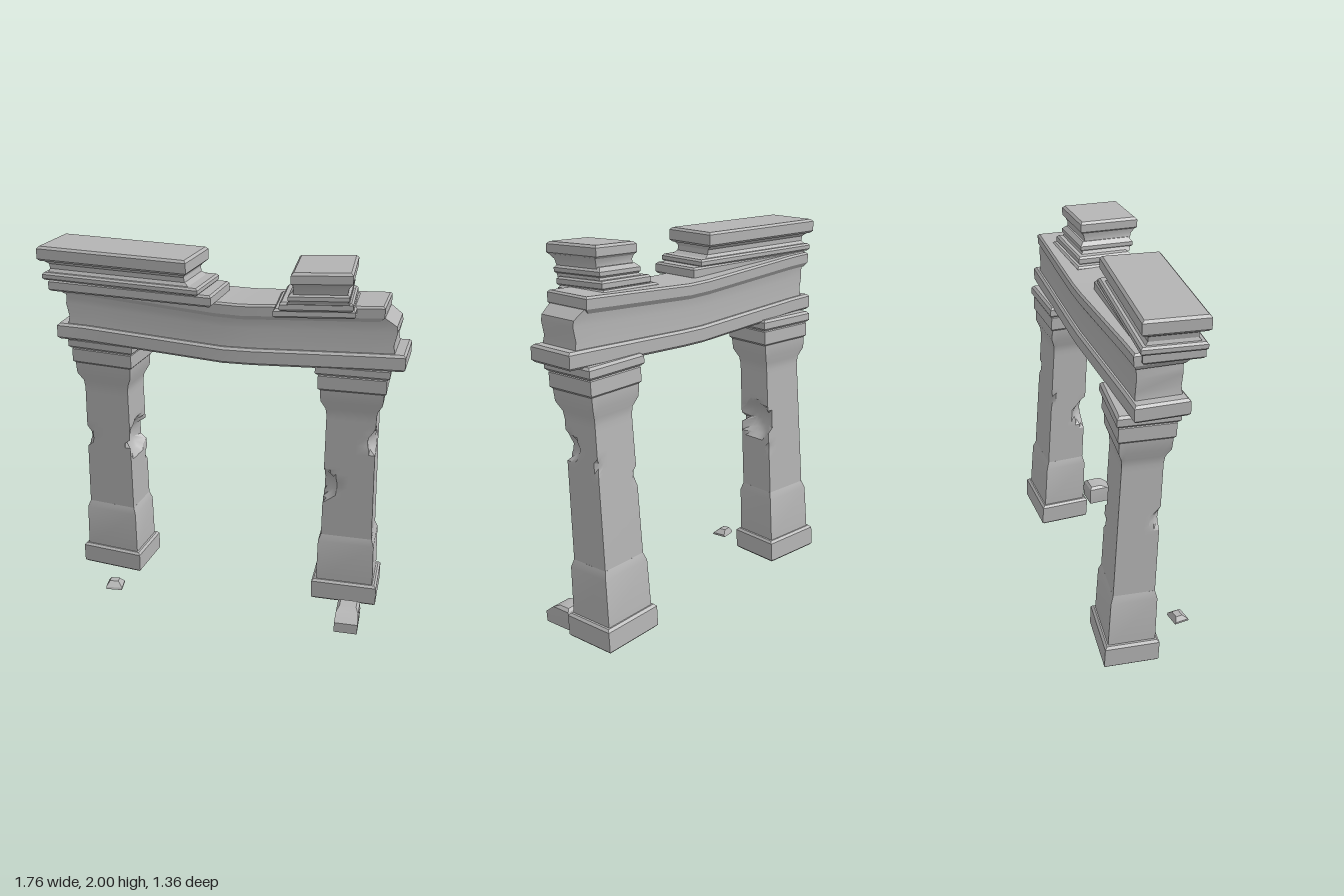
import * as THREE from 'three';
import { toCreasedNormals } from 'three/addons/utils/BufferGeometryUtils.js';

const stone = new THREE.MeshStandardMaterial({ color: 0xb4b4b4 });
stone.name = 'weathered stone';

const rad = (deg) => deg * Math.PI / 180;

// Rectangular ring of points, row = [y, halfLength, halfDepth, shiftLength, shiftDepth]
function ring([y, hu, hn, du = 0, dn = 0], o) {
  const c = Math.cos(rad(o.yaw)), s = Math.sin(rad(o.yaw));
  const corners = [[-hu, hn], [hu, hn], [hu, -hn], [-hu, -hn]];
  const steps = [o.long || 1, o.short || 1];
  const pts = [];
  corners.forEach((a, k) => {
    const b = corners[(k + 1) % 4], n = steps[k % 2];
    for (let i = 0; i < n; i++) {
      const u = a[0] + (b[0] - a[0]) * i / n + du;
      const v = a[1] + (b[1] - a[1]) * i / n + dn;
      const lean = o.lean ? [o.lean[0] * y, o.lean[1] * y] : [0, 0];
      const p = new THREE.Vector3(o.x + lean[0] + u * c - v * s, y, o.z + lean[1] + u * s + v * c);
      if (o.deform) o.deform(p);
      pts.push(p);
    }
  });
  return pts;
}

// Closed block lofted upward through rectangular rows
function block(name, rows, o) {
  const rings = rows.map((r) => ring(r, o));
  const pos = [];
  const tri = (...ps) => ps.forEach((p) => pos.push(p.x, p.y, p.z));
  const quad = (a, b, c, d) => { tri(a, b, c); tri(a, c, d); };
  const k = rings[0].length;
  for (let r = 0; r + 1 < rings.length; r++) {
    for (let i = 0; i < k; i++) {
      const j = (i + 1) % k;
      quad(rings[r][i], rings[r][j], rings[r + 1][j], rings[r + 1][i]);
    }
  }
  // End caps as strips across the ring
  const top = rings[rings.length - 1], bottom = rings[0];
  for (let i = 0; i < k / 2 - 1; i++) {
    const a = i, b = i + 1, c = k - 2 - i, d = k - 1 - i;
    quad(top[a], top[b], top[c], top[d]);
    quad(bottom[d], bottom[c], bottom[b], bottom[a]);
  }
  const geo = new THREE.BufferGeometry();
  geo.setAttribute('position', new THREE.Float32BufferAttribute(pos, 3));
  const mesh = new THREE.Mesh(toCreasedNormals(geo, 0.55), stone);
  mesh.name = name;
  return mesh;
}

// Rows of a slab with softened edges
const slab = (y0, y1, hu, hn, du = 0, dn = 0, e = 0.012) => [
  [y0, hu - e, hn - e, du, dn], [y0 + e, hu, hn, du, dn],
  [y1 - e, hu, hn, du, dn], [y1, hu - e, hn - e, du, dn]];

// Leaning column; each dent [dx, y, dz, radius] bites a hollow out of the shaft
function column(name, x, z, yaw, lean, dents) {
  const group = new THREE.Group();
  group.name = name;
  const o = { x, z, yaw, lean };
  group.add(block('plinth', slab(0.03, 0.16, 0.18, 0.143), o));
  group.add(block('pedestal', [[0.15, 0.157, 0.124], [0.41, 0.152, 0.12], [0.45, 0.138, 0.108]], o));

  const rows = [];
  for (let i = 0; i <= 28; i++) {
    const t = i / 28;
    rows.push([0.44 + 0.74 * t, 0.138 - 0.01 * t, 0.108 - 0.006 * t]);
  }
  rows.push([1.22, 0.133, 0.106], [1.27, 0.158, 0.127], [1.34, 0.163, 0.13]);
  const carve = (p) => {
    const ax = x + lean[0] * p.y, az = z + lean[1] * p.y;
    const len = Math.hypot(ax - p.x, az - p.z);
    const dx = (ax - p.x) / len, dz = (az - p.z) / len;
    for (const [cx, cy, cz, r] of dents) {
      const fx = p.x - ax - cx, fy = p.y - cy, fz = p.z - az - cz;
      const q = fx * fx + fy * fy + fz * fz - r * r;
      if (q >= 0) continue;
      const b = fx * dx + fz * dz;
      const t = Math.min(-b + Math.sqrt(b * b - q), len * 0.6);
      p.x += dx * t;
      p.z += dz * t;
    }
  };
  group.add(block('shaft', rows, { ...o, long: 8, short: 8, deform: carve }));
  group.add(block('capital', slab(1.33, 1.425, 0.173, 0.139), o));
  group.add(block('capitalTop', slab(1.42, 1.48, 0.187, 0.152), o));
  return group;
}

// Sagging lintel that bows forward at its middle
function lintel() {
  const group = new THREE.Group();
  group.name = 'lintel';
  const yaw = 33.7, c = Math.cos(rad(yaw)), s = Math.sin(rad(yaw));
  const bend = (sag) => (p) => {
    const u = p.x * c + p.z * s, n = -p.x * s + p.z * c;
    const t = Math.max(0, 1 - Math.abs(u - 0.08) / 0.85);
    p.y -= sag * t;
    if (n > 0) { p.x -= s * 0.04 * t; p.z += c * 0.04 * t; }
  };
  const o = { x: 0.036, z: 0.018, yaw, long: 12 };
  group.add(block('architrave', slab(1.475, 1.562, 0.92, 0.135), { ...o, deform: bend(0.033) }));
  group.add(block('frieze', [
    [1.55, 0.865, 0.114], [1.6, 0.855, 0.11], [1.67, 0.87, 0.11],
    [1.7, 0.865, 0.11], [1.745, 0.835, 0.118, -0.03]], { ...o, deform: bend(0.04) }));
  group.add(block('cornice', [
    [1.725, 0.83, 0.115, -0.05], [1.748, 0.85, 0.132, -0.045], [1.796, 0.85, 0.134, -0.045],
    [1.806, 0.84, 0.124, -0.045]], { ...o, deform: bend(0.046) }));
  return group;
}

export function createModel() {
  const model = new THREE.Group();
  model.name = 'ruinedGateway';

  model.add(column('rightColumn', -0.49, -0.457, 38.5, [-0.014, 0.056], [
    [0.15, 0.87, 0.11, 0.125], [-0.2, 0.87, 0, 0.065], [0.2, 0.72, 0.0, 0.045]]));
  model.add(column('leftColumn', 0.647, 0.293, 31, [-0.04, 0.054], [
    [0.1, 1.04, 0.16, 0.08], [-0.2, 0.76, 0.04, 0.1], [0.2, 0.98, -0.03, 0.055], [-0.06, 0.87, -0.2, 0.06]]));
  model.add(lintel());

  // Long broken piece of the upper cornice
  const longStack = new THREE.Group();
  longStack.name = 'longUpperCornice';
  const a = { x: -0.466, z: -0.235, yaw: 38.3 };
  longStack.add(
    block('longBase', slab(1.755, 1.815, 0.445, 0.145, 0.085, 0, 0.01), { ...a, yaw: 37 }),
    block('longStep', slab(1.81, 1.85, 0.43, 0.152, 0.04, 0, 0.01), a),
    block('longNeck', [[1.84, 0.4, 0.135, 0.03], [1.865, 0.375, 0.115, 0.015],
      [1.89, 0.375, 0.115, 0.01], [1.915, 0.395, 0.14, 0]], a),
    block('longTop', slab(1.908, 1.985, 0.412, 0.155), a));
  model.add(longStack);

  // Short broken piece of the upper cornice, tilted slightly
  const shortStack = new THREE.Group();
  shortStack.name = 'shortUpperCornice';
  const tilt = (p) => { p.y += 0.05 * (p.x - 0.5); };
  const b = { x: 0.37, z: 0.335, yaw: 29.2, deform: tilt };
  shortStack.add(
    block('shortBase', slab(1.75, 1.795, 0.2, 0.148, 0.01, 0, 0.01), b),
    block('shortMiddle', slab(1.79, 1.835, 0.178, 0.148, 0.02, 0.02, 0.01), b),
    block('shortStep', slab(1.835, 1.895, 0.147, 0.15, 0.035, 0.05, 0.02), b),
    block('shortNeck', [[1.83, 0.15, 0.14, 0.03, 0.04], [1.88, 0.13, 0.13, 0.04, 0.06],
      [1.915, 0.13, 0.135, 0.045, 0.065], [1.94, 0.14, 0.15, 0.05, 0.07]], b),
    block('shortTop', slab(1.935, 2.0, 0.146, 0.162, 0.05, 0.07), b));
  model.add(shortStack);

  // Fallen fragments
  model.add(block('largeRock', [[0.0, 0.062, 0.08], [0.06, 0.064, 0.082], [0.1, 0.06, 0.055, 0, -0.022],
    [0.115, 0.045, 0.03, 0, -0.035]], { x: 0.525, z: 0.582, yaw: 30 }));
  model.add(block('smallRock', [[0.04, 0.045, 0.042], [0.052, 0.046, 0.038], [0.076, 0.024, 0.018, -0.005, -0.01]],
    { x: -0.61, z: -0.123, yaw: 25, long: 2 }));
  return model;
}
